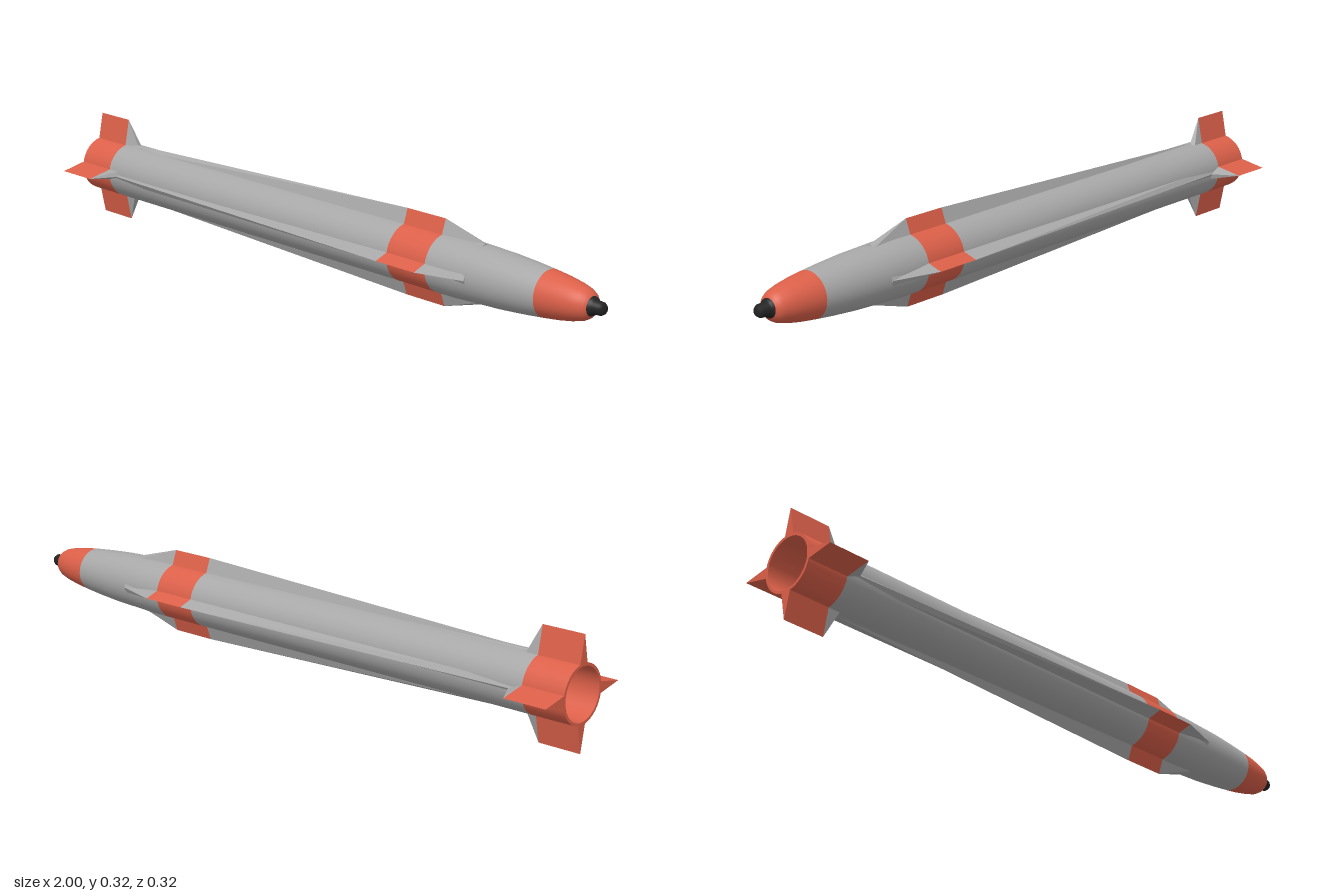
import * as THREE from 'three';

const AXIS_Y = 0.16; // height of the long axis

export function createModel() {
  const mat = (name, color) => {
    const m = new THREE.MeshStandardMaterial({ color });
    m.name = name;
    return m;
  };
  const grey = mat('bodyGrey', 0xa8a8a8);
  const orange = mat('bandOrange', 0xdc6049);
  const black = mat('tipBlack', 0x242424);

  const model = new THREE.Group();
  model.name = 'missile';
  const rocket = new THREE.Group();
  rocket.name = 'airframe';
  rocket.position.y = AXIS_Y;
  model.add(rocket);

  // Turned part along x, from [x, radius] pairs
  function turned(name, points, material) {
    const geo = new THREE.LatheGeometry(points.map(([x, r]) => new THREE.Vector2(r, x)), 40);
    geo.rotateZ(-Math.PI / 2);
    const mesh = new THREE.Mesh(geo, material);
    mesh.name = name;
    rocket.add(mesh);
  }

  // Hull
  const R = 0.083;
  turned('tailBand', [[-1, R], [-0.87, R]], orange);
  turned('rearBody', [[-0.87, R], [0.32, R]], grey);
  turned('middleBand', [[0.32, R], [0.46, R]], orange);
  turned('frontBody', [[0.46, R], [0.53, R], [0.6, 0.08], [0.68, 0.077], [0.76, 0.071], [0.82, 0.065]], grey);
  turned('noseBand', [[0.82, 0.065], [0.87, 0.059], [0.91, 0.052], [0.94, 0.044], [0.955, 0.036], [0.962, 0.026]], orange);
  turned('noseTip', [[0.958, 0.028], [0.968, 0.024], [0.972, 0.019], [0.992, 0.018], [1, 0.013], [1, 0]], black);

  // Hollow tail: rim, inner wall and end plate
  turned('nozzleRim', [[-1, 0.075], [-1, R]], orange);
  turned('nozzleWall', [[-0.88, 0.075], [-1, 0.075]], orange);
  turned('nozzleEnd', [[-0.88, 0], [-0.88, 0.075]], orange);

  // Fin piece with a triangular section, lofted through [x, tip radius] stations
  const BASE = 0.076, HALF = 0.017;
  function finPiece(name, stations, material) {
    const pos = [];
    const section = ([x, r]) => [[x, BASE, HALF], [x, r, 0], [x, BASE, -HALF]];
    const tri = (a, b, c) => pos.push(...a, ...b, ...c);
    for (let i = 0; i < stations.length - 1; i++) {
      const a = section(stations[i]), b = section(stations[i + 1]);
      for (let k = 0; k < 2; k++) {
        tri(a[k], b[k], b[k + 1]);
        tri(a[k], b[k + 1], a[k + 1]);
      }
    }
    // End faces
    const s = section(stations[0]), e = section(stations[stations.length - 1]);
    tri(s[0], s[1], s[2]);
    tri(e[0], e[2], e[1]);
    const geo = new THREE.BufferGeometry();
    geo.setAttribute('position', new THREE.Float32BufferAttribute(pos, 3));
    geo.computeVertexNormals();
    const mesh = new THREE.Mesh(geo, material);
    mesh.name = name;
    return mesh;
  }

  // Four long fins around the hull
  for (let i = 0; i < 4; i++) {
    const fin = new THREE.Group();
    fin.name = 'fin' + (i + 1);
    fin.add(
      finPiece('tailFin', [[-1, 0.16], [-0.87, 0.16]], orange),
      finPiece('strake', [[-0.87, 0.16], [-0.83, 0.086], [0.32, 0.124]], grey),
      finPiece('strakeBand', [[0.32, 0.124], [0.46, 0.124]], orange),
      finPiece('strakeFront', [[0.46, 0.124], [0.6, 0.084]], grey),
    );
    fin.rotation.x = (i * Math.PI) / 2;
    rocket.add(fin);
  }

  return model;
}
